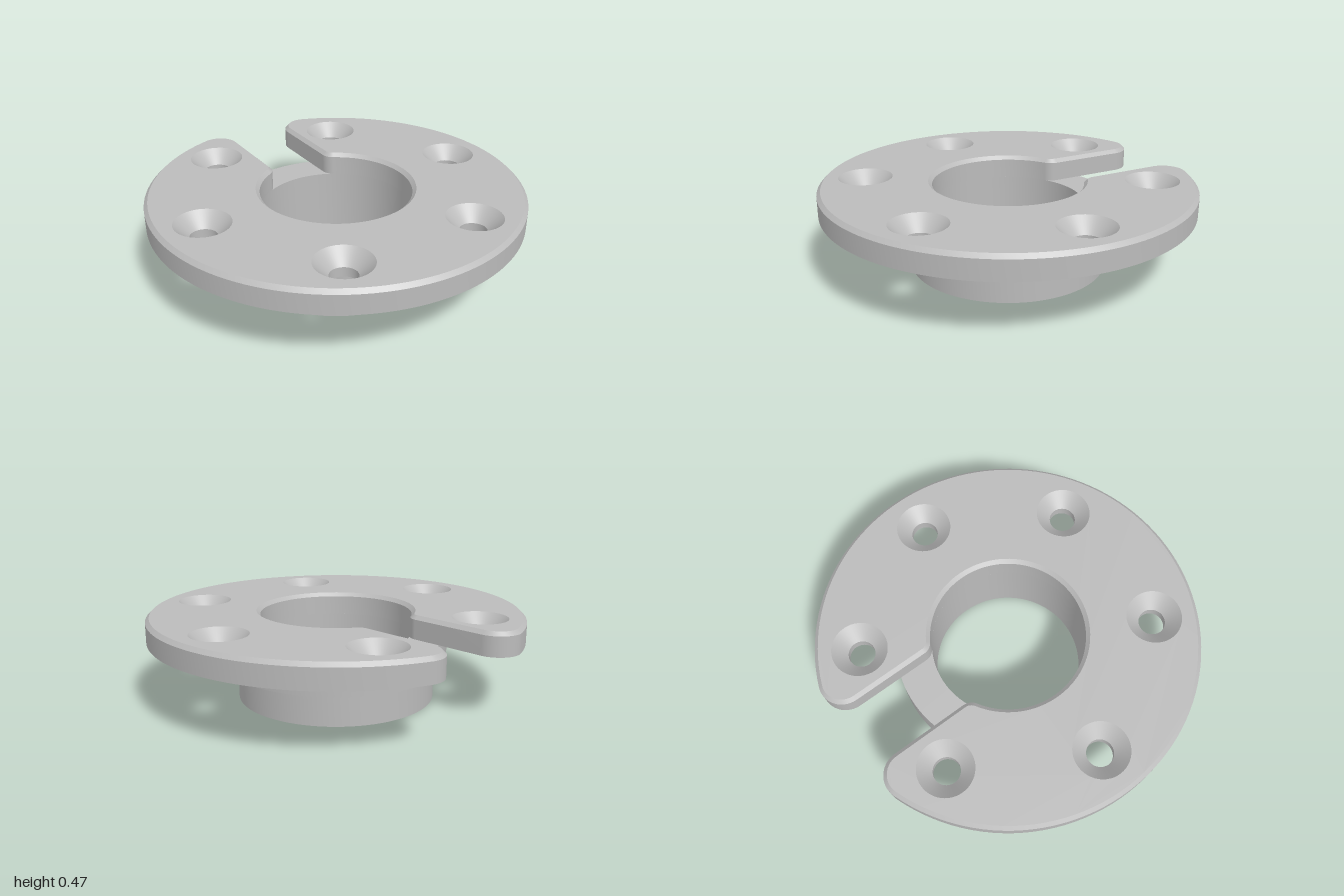
import * as THREE from 'three';

const steel = new THREE.MeshStandardMaterial({ color: 0xbbbbbb });
steel.name = 'steel grey';

const BOTTOM = 0.345, TOP = 0.47, CHAMFER = 0.02;
const BORE = 0.405, SLOT_ANGLE = (150 * Math.PI) / 180;

// Plan loops are counter-clockwise seen from above, with plan y = -z
function circle(r, cx = 0, cy = 0, n = 96) {
  return Array.from({ length: n }, (_, i) => {
    const a = (i / n) * Math.PI * 2;
    return new THREE.Vector2(cx + r * Math.cos(a), cy + r * Math.sin(a));
  });
}

// Slotted ring with rounded slot corners, shrunk inwards by d
function flangeOutline(d) {
  const R = 1, h = 0.172, f = 0.125, g = 0.07;
  const vo = h + f, uo = Math.sqrt((R - f) ** 2 - vo ** 2);
  const vi = h + g, ui = Math.sqrt((BORE + g) ** 2 - vi ** 2);
  const po = Math.atan2(vo, uo), pi = Math.atan2(vi, ui);
  const pts = [], zero = new THREE.Vector2();
  const arc = (u, v, r, a0, a1, n) => {
    for (let i = 0; i <= n; i++) {
      const a = a0 + ((a1 - a0) * i) / n;
      const p = new THREE.Vector2(u + r * Math.cos(a), v + r * Math.sin(a)).rotateAround(zero, SLOT_ANGLE);
      if (!pts.some((q) => q.distanceTo(p) < 1e-5)) pts.push(p);
    }
  };
  const P = Math.PI;
  arc(0, 0, R - d, po, 2 * P - po, 110);
  arc(uo, -vo, f - d, -po, P / 2, 14);
  arc(ui, -vi, g - d, P / 2, P - pi, 10);
  arc(0, 0, BORE + d, 2 * P - pi, pi, 80);
  arc(ui, vi, g - d, P + pi, 1.5 * P, 10);
  arc(uo, vo, f - d, -P / 2, po, 14);
  return pts;
}

// Smooth band joining two plan loops at two heights
function band(name, a, ya, b, yb) {
  const n = a.length, pos = [], idx = [];
  a.forEach((p) => pos.push(p.x, ya, -p.y));
  b.forEach((p) => pos.push(p.x, yb, -p.y));
  for (let i = 0; i < n; i++) {
    const j = (i + 1) % n;
    idx.push(i, j, n + i, j, n + j, n + i);
  }
  const geo = new THREE.BufferGeometry();
  geo.setAttribute('position', new THREE.Float32BufferAttribute(pos, 3));
  geo.setIndex(idx);
  geo.computeVertexNormals();
  const mesh = new THREE.Mesh(geo, steel);
  mesh.name = name;
  return mesh;
}

// Flat face with holes, facing up or down
function face(name, outline, holes, y, up) {
  const shape = new THREE.Shape(outline);
  shape.holes = holes.map((h) => new THREE.Path(h));
  const geo = new THREE.ShapeGeometry(shape);
  if (!up) {
    const index = geo.index;
    for (let i = 0; i < index.count; i += 3) {
      const t = index.getX(i);
      index.setX(i, index.getX(i + 1));
      index.setX(i + 1, t);
    }
    geo.computeVertexNormals();
  }
  geo.rotateX(-Math.PI / 2).translate(0, y, 0);
  const mesh = new THREE.Mesh(geo, steel);
  mesh.name = name;
  return mesh;
}

export function createModel() {
  const model = new THREE.Group();
  model.name = 'slottedFlange';

  // Stepped tubular hub
  const hub = new THREE.Group();
  hub.name = 'hub';
  const profile = [
    ['hubBottom', BORE, 0], ['lowerHubWall', 0.53, 0], ['hubStep', 0.53, 0.175],
    ['upperHubWall', 0.595, 0.175], ['hubLedge', 0.595, BOTTOM], ['bore', BORE, BOTTOM],
  ];
  profile.forEach(([name, r, y], i) => {
    const [, r2, y2] = profile[(i + 1) % profile.length];
    hub.add(band(name, circle(r), y, circle(r2), y2));
  });
  model.add(hub);

  // Flange with a chamfered top edge
  const flange = new THREE.Group();
  flange.name = 'flange';
  const outer = flangeOutline(0), inner = flangeOutline(CHAMFER);
  const centres = Array.from({ length: 6 }, (_, i) => {
    const a = (i * Math.PI) / 3;
    return [0.767 * Math.cos(a), 0.767 * Math.sin(a)];
  });
  const holes = (r) => centres.map(([x, y]) => circle(r, x, y, 48));
  const wide = holes(0.145), narrow = holes(0.07);
  flange.add(
    band('flangeWall', outer, BOTTOM, outer, TOP - CHAMFER),
    band('flangeChamfer', outer, TOP - CHAMFER, inner, TOP),
    face('flangeTop', inner, wide, TOP, true),
    face('flangeUnderside', outer, narrow, BOTTOM, false),
  );

  // Countersunk screw holes
  centres.forEach((_, i) => {
    flange.add(
      band('countersink', wide[i], TOP, narrow[i], 0.395),
      band('screwHole', narrow[i], 0.395, narrow[i], BOTTOM),
    );
  });
  model.add(flange);
  return model;
}
